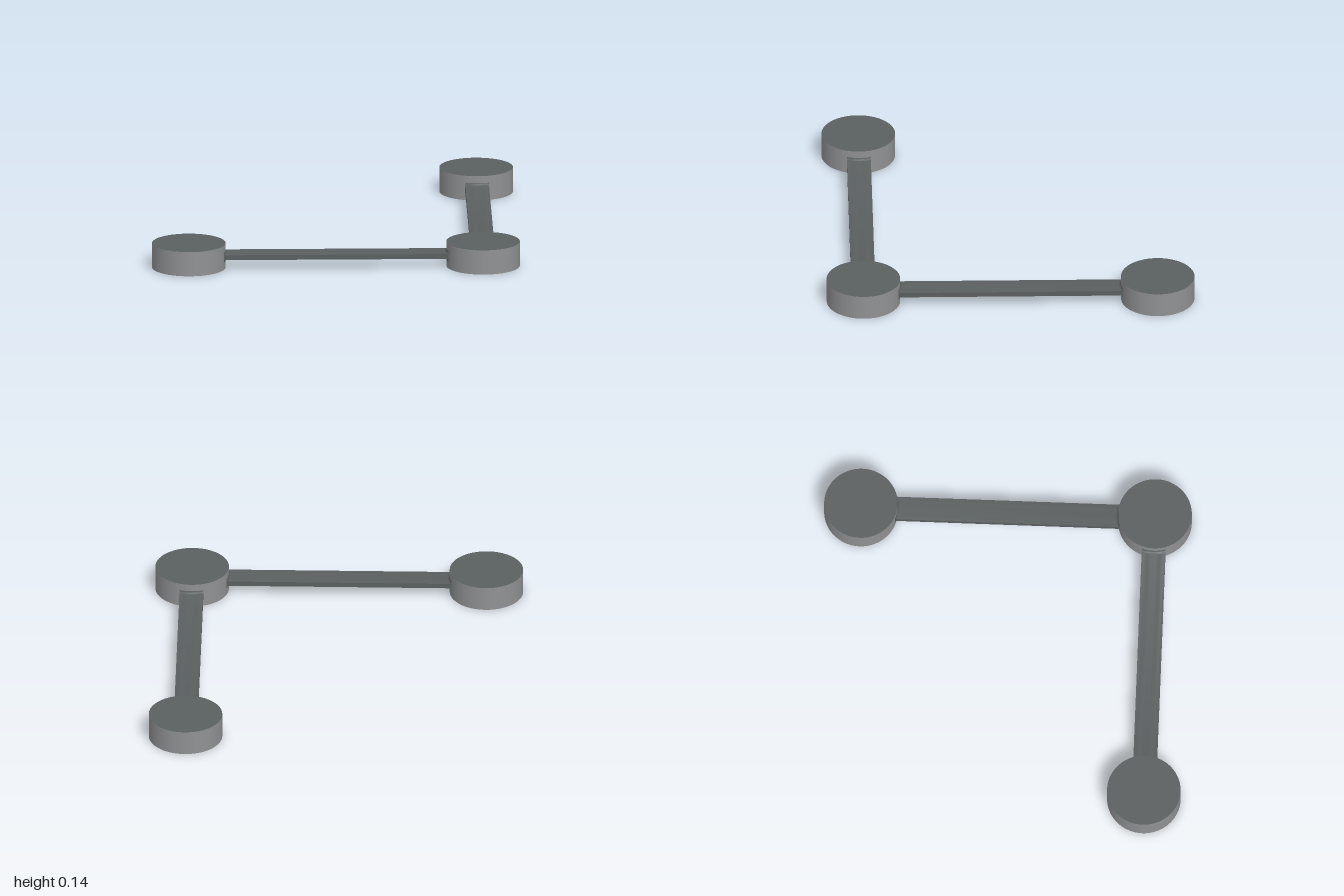
import * as THREE from 'three';
import { toCreasedNormals } from 'three/addons/utils/BufferGeometryUtils.js';

const R = 0.2, H = 0.136, MID = H / 2;     // disc radius, height, mid-height
const HALF = 0.6, WIDTH = 0.13, T = 0.0135; // bar half length, width, half thickness
const F = 0.015;                            // fillet radius where bar meets disc

// Bar along x: side profile with filleted ends, bent to hug the round discs
function barGeometry() {
  const quarter = [];
  for (let i = 0; i <= 6; i++) {
    const a = (i / 6) * Math.PI / 2;
    quarter.push([HALF - F * (1 - Math.cos(a)), T + F * (1 - Math.sin(a))]);
  }
  const right = [[HALF + 0.005, T + F], ...quarter];
  right.reverse();
  // quarter runs from the disc wall inwards; remap so it is tangent to both surfaces
  const top = right.map(([x, y]) => new THREE.Vector2(x, y));
  const flip = (pts, sx, sy) => pts.map((p) => new THREE.Vector2(p.x * sx, p.y * sy));
  const outline = [
    ...top,
    ...flip(top, 1, -1).reverse(),
    ...flip(top, -1, -1),
    ...flip(top, -1, 1).reverse(),
  ];
  const geo = new THREE.ExtrudeGeometry(new THREE.Shape(outline), {
    depth: WIDTH, steps: 10, bevelEnabled: false,
  });
  geo.translate(0, 0, -WIDTH / 2);
  const pos = geo.attributes.position;
  for (let i = 0; i < pos.count; i++) {
    const x = pos.getX(i), z = pos.getZ(i);
    const bend = R - Math.sqrt(R * R - z * z);
    pos.setX(i, x + Math.sign(x) * bend);
  }
  return toCreasedNormals(geo, 0.6);
}

export function createModel() {
  const model = new THREE.Group();
  const darkGrey = new THREE.MeshStandardMaterial({ color: 0x5a5f5f });
  darkGrey.name = 'dark grey';
  const lightGrey = new THREE.MeshStandardMaterial({ color: 0x909193 });
  lightGrey.name = 'light grey';

  // Three round discs: light rim, dark top and bottom
  const discGeo = new THREE.CylinderGeometry(R, R, H, 72);
  const discs = [['rightDisc', -0.8, 0.8], ['cornerDisc', 0.8, 0.8], ['backDisc', 0.8, -0.8]];
  for (const [name, x, z] of discs) {
    const disc = new THREE.Mesh(discGeo, [lightGrey, darkGrey, darkGrey]);
    disc.name = name;
    disc.position.set(x, MID, z);
    model.add(disc);
  }

  // Two flat bars joining the discs at a right angle
  const barGeo = barGeometry();
  const bars = [['frontBar', 0, 0.8, 0], ['sideBar', 0.8, 0, Math.PI / 2]];
  for (const [name, x, z, turn] of bars) {
    const bar = new THREE.Mesh(barGeo, darkGrey);
    bar.name = name;
    bar.position.set(x, MID, z);
    bar.rotation.y = turn;
    model.add(bar);
  }
  return model;
}
